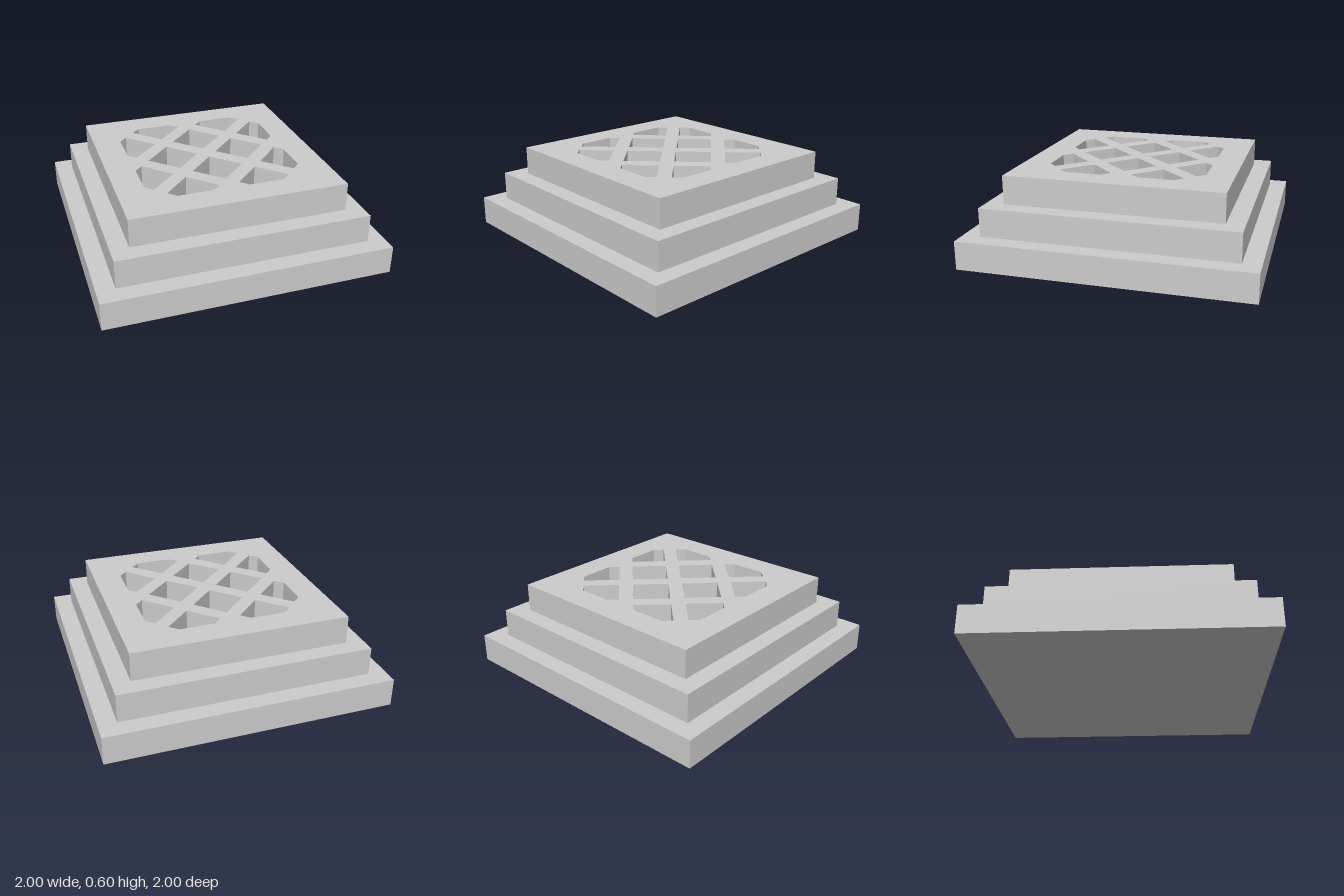
import * as THREE from 'three';

const TIER = 0.2;      // height of each step
const R = 0.18;        // half diagonal of a lattice opening
const LIMIT = 0.555;   // square border that clips the outer openings

// Diamond opening centred at (x, y); tips beyond the border are cut flat
function diamond(x, y) {
  const points = [];
  for (const [dx, dy] of [[1, 0], [0, 1], [-1, 0], [0, -1]]) {
    const tip = new THREE.Vector2(x + dx * R, y + dy * R);
    const excess = Math.max(Math.abs(tip.x), Math.abs(tip.y)) - LIMIT;
    if (excess <= 0) {
      points.push(tip);
      continue;
    }
    const base = new THREE.Vector2(tip.x - dx * excess, tip.y - dy * excess);
    const side = new THREE.Vector2(-dy, dx).multiplyScalar(excess);
    points.push(base.clone().sub(side), base.clone().add(side));
  }
  return new THREE.Path(points);
}

export function createModel() {
  const group = new THREE.Group();
  const material = new THREE.MeshStandardMaterial({ color: 0xcccccc, flatShading: true });

  // Two solid lower steps
  [['baseStep', 2], ['middleStep', 1.75]].forEach(([name, width], i) => {
    const step = new THREE.Mesh(new THREE.BoxGeometry(width, TIER, width), material);
    step.name = name;
    step.position.y = TIER * (i + 0.5);
    group.add(step);
  });

  // Top step pierced by a diagonal lattice
  const h = 0.75;
  const shape = new THREE.Shape([
    new THREE.Vector2(-h, -h), new THREE.Vector2(h, -h),
    new THREE.Vector2(h, h), new THREE.Vector2(-h, h),
  ]);
  for (const s of [-1, 1]) {
    shape.holes.push(diamond(0, s * 0.25), diamond(s * 0.25, 0));
    for (const t of [-1, 1]) {
      shape.holes.push(diamond(s * 0.25, t * 0.5), diamond(s * 0.5, t * 0.25));
    }
  }
  const geometry = new THREE.ExtrudeGeometry(shape, { depth: TIER, bevelEnabled: false });
  geometry.rotateX(-Math.PI / 2);
  const top = new THREE.Mesh(geometry, material);
  top.name = 'latticeTopStep';
  top.position.y = TIER * 2;
  group.add(top);

  return group;
}
